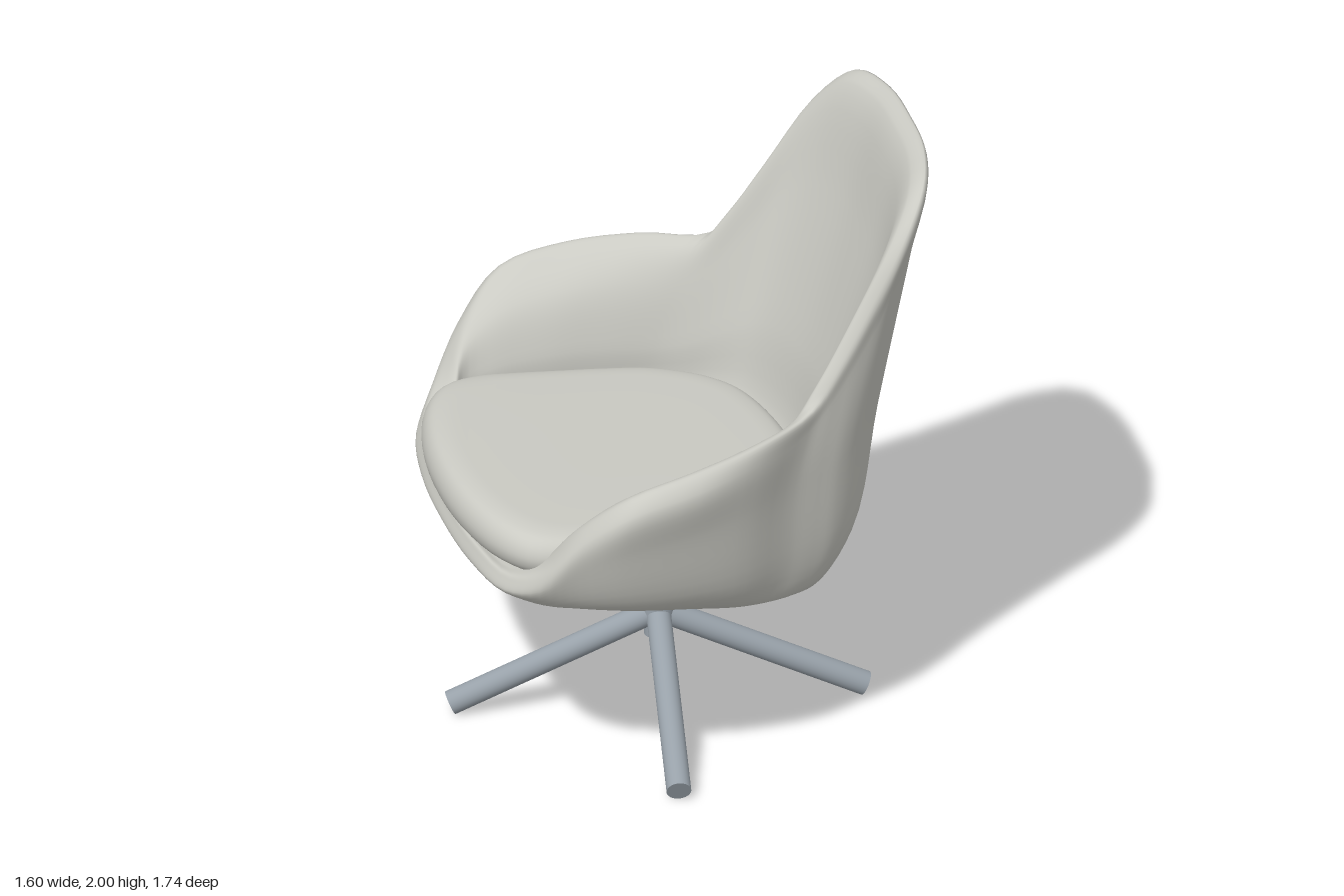
import * as THREE from 'three';

const V = (x, y, z) => new THREE.Vector3(x, y, z);
const lerp = (a, b, t) => a.clone().lerp(b, t);

// Smooth closed skin from half-stations (back centre to front centre), mirrored in z.
// Each station is a profile of points running from the underside, round the edge, to the inside.
function loft(half, around, along) {
  const flip = half.slice(1, -1).reverse().map(p => p.map(q => V(q.x, q.y, -q.z)));
  const stations = half.concat(flip);
  const rings = stations[0].map((_, j) =>
    new THREE.CatmullRomCurve3(stations.map(s => s[j]), true, 'centripetal'));
  const pos = [], idx = [], w = along + 1;
  for (let i = 0; i < around; i++) {
    const pts = rings.map(c => c.getPoint(i / around));
    const profile = new THREE.CatmullRomCurve3(pts, false, 'centripetal');
    for (let j = 0; j <= along; j++) pos.push(...profile.getPoint(j / along).toArray());
    for (let j = 0; j < along; j++) {
      const a = i * w + j, b = ((i + 1) % around) * w + j;
      if (j > 0) idx.push(a, a + 1, b);
      if (j < along - 1) idx.push(a + 1, b + 1, b);
    }
  }
  const g = new THREE.BufferGeometry();
  g.setAttribute('position', new THREE.Float32BufferAttribute(pos, 3));
  g.setIndex(idx);
  g.computeVertexNormals();
  return g;
}

// Station data, back centre to front centre: rim and belly as x, y, z; base and seat outlines as x, z
const RIM = [[.84, 2, 0], [.83, 1.995, .22], [.775, 1.96, .42], [.69, 1.84, .52], [.56, 1.62, .565],
  [.44, 1.43, .6], [.35, 1.32, .63], [.14, 1.285, .75], [-.08, 1.25, .815], [-.3, 1.19, .82],
  [-.44, 1.06, .75], [-.55, .89, .67], [-.63, .815, .54], [-.68, .81, .3], [-.695, .81, 0]];
const BELLY = [[.68, 1.2, 0], [.67, 1.2, .2], [.63, 1.18, .38], [.55, 1.15, .5], [.46, 1.1, .57],
  [.38, 1.07, .605], [.28, 1.05, .65], [.1, 1.04, .77], [-.1, 1.02, .83], [-.32, .98, .83],
  [-.46, .9, .76], [-.57, .81, .68], [-.65, .765, .55], [-.7, .755, .3], [-.715, .755, 0]];
const BASE = [[.46, 0], [.46, .15], [.45, .3], [.42, .43], [.37, .51], [.3, .56], [.22, .6],
  [.1, .63], [-.05, .63], [-.22, .62], [-.38, .59], [-.49, .53], [-.57, .42], [-.63, .22], [-.65, 0]];
const SEAT = [[.43, 0], [.42, .15], [.39, .3], [.35, .4], [.28, .48], [.2, .53], [.1, .57],
  [-.05, .59], [-.2, .6], [-.36, .61], [-.48, .61], [-.59, .57], [-.67, .46], [-.73, .25], [-.75, 0]];
// Swelling of the arms just under the rim, and how padded their inner faces are
const SWELL = [0, 0, 0, 0, 0, 0, 0, .025, .05, .05, .04, .02, .01, .01, .01];
const PAD = [0, 0, 0, 0, .05, .15, .4, .8, 1, 1, 1, .7, .2, 0, 0];

const floorY = u => .588 + .12 * (.5 - u);

function shellGeometry() {
  const half = RIM.map((r, i) => {
    const rim = V(...r), belly = V(...BELLY[i]);
    const base = V(BASE[i][0], floorY(BASE[i][0]), BASE[i][1]);
    const under = V(-.1, floorY(-.1), 0), inside = V(-.1, .8, 0);
    const seat = V(SEAT[i][0], .8, SEAT[i][1]);
    if (i > 10) seat.lerp(inside, .14);
    const low = lerp(base, belly, .62);
    low.y = base.y + .28 * (belly.y - base.y);
    const foot = lerp(base, low, .15);
    const upper = lerp(belly, rim, .72);
    upper.x *= 1 + SWELL[i] * .4;
    upper.z *= 1 + SWELL[i];
    const inward = V(seat.x - rim.x, 0, seat.z - rim.z);
    inward.setLength(Math.min(.06, inward.length() * .5));
    const lip = rim.clone().add(inward);
    lip.y -= i > 10 ? .005 : .03;
    // padded arms keep their width, then drop steeply to the seat
    const drop = (across, down) => {
      const p = lerp(lip, seat, across);
      p.y = lip.y + (seat.y - lip.y) * down;
      return p;
    };
    const wall = drop(.3 + .25 * PAD[i], .3 - .06 * PAD[i]);
    const deep = drop(.72 + .16 * PAD[i], .72 - .08 * PAD[i]);
    return [under, lerp(under, base, .55), lerp(under, base, .94), foot, low, belly, upper,
      rim, lip, wall, deep, seat, lerp(seat, inside, .4), inside];
  });
  return loft(half, 112, 78);
}

function cushionGeometry() {
  const half = SEAT.map(([u, v]) => {
    const at = (s, f) => {
      const x = -.15 + (u + .15) * s, bottom = .82, top = .94 - .055 * x;
      return V(x, bottom + (top - bottom) * f, v * s);
    };
    return [at(0, 0), at(.6, 0), at(.91, .01), at(.975, .13), at(1, .4), at(.988, .67),
      at(.95, .87), at(.88, .97), at(.75, 1), at(.4, 1.02), at(0, 1.02)];
  });
  return loft(half, 96, 44);
}

function rod(a, b, radius, material, name) {
  const m = new THREE.Mesh(new THREE.CylinderGeometry(radius, radius, a.distanceTo(b), 28), material);
  m.position.copy(a).add(b).multiplyScalar(.5);
  m.quaternion.setFromUnitVectors(V(0, 1, 0), b.clone().sub(a).normalize());
  m.name = name;
  return m;
}

export function createModel() {
  const fabric = new THREE.MeshStandardMaterial({ color: 0xcacac3 });
  fabric.name = 'warm grey upholstery';
  const metal = new THREE.MeshStandardMaterial({ color: 0x98a1a9 });
  metal.name = 'blue grey metal';
  const model = new THREE.Group();
  model.name = 'swivelArmchair';

  // Upholstered seat, swivelled slightly on its base
  const seat = new THREE.Group();
  seat.name = 'seat';
  seat.position.set(-.06, 0, -.035);
  seat.rotation.y = .16;
  const shell = new THREE.Mesh(shellGeometry(), fabric);
  shell.name = 'shell';
  const cushion = new THREE.Mesh(cushionGeometry(), fabric);
  cushion.name = 'cushion';
  cushion.position.set(.015, 0, .025);
  seat.add(shell, cushion);
  model.add(seat);

  // Six-sided adjustment knob below the seat
  const profile = [[0, .57], [.042, .57], [.06, .59], [.06, .635], [.05, .645], [.05, .68]];
  const knobGeometry = new THREE.LatheGeometry(profile.map(p => new THREE.Vector2(...p)), 6).toNonIndexed();
  knobGeometry.computeVertexNormals();
  const knob = new THREE.Mesh(knobGeometry, fabric);
  knob.name = 'knob';
  knob.position.set(-.2, 0, 0);
  model.add(knob);

  // Star base: post, hub and four sloping legs
  const base = new THREE.Group();
  base.name = 'base';
  base.position.x = -.06;
  base.add(rod(V(0, .34, 0), V(0, .6, 0), .055, metal, 'post'));
  base.add(rod(V(0, .26, 0), V(0, .37, 0), .045, metal, 'hub'));
  for (let i = 0; i < 4; i++) {
    const a = i * Math.PI / 2, c = Math.cos(a), s = Math.sin(a);
    base.add(rod(V(.02 * c, .337, .02 * s), V(.668 * c, .04, .668 * s), .04, metal, 'leg'));
  }
  model.add(base);
  return model;
}
